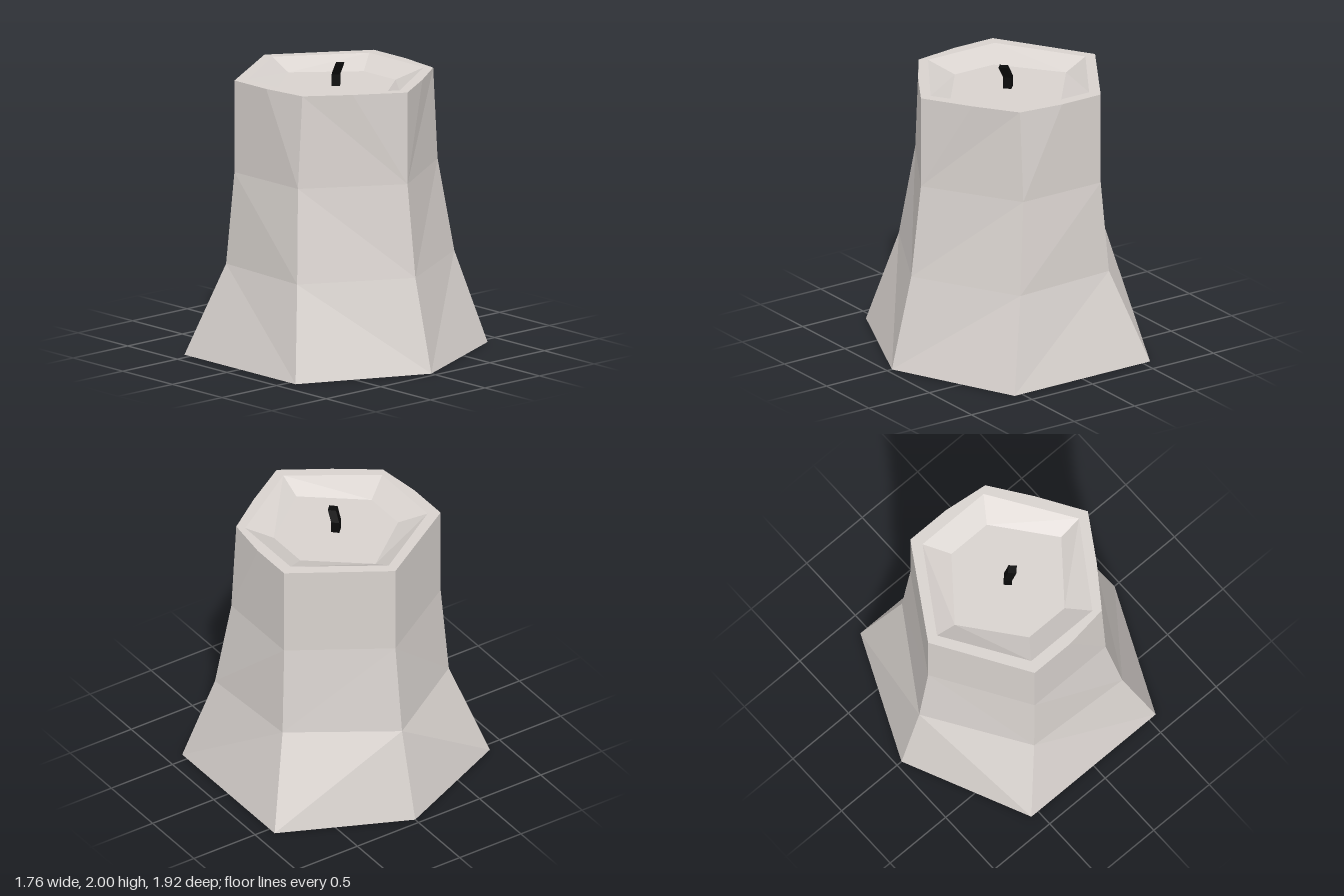
import * as THREE from 'three';

// Collects triangles for the +x half and mirrors each one to -x.
function mirroredSurface() {
  const pos = [];
  const tri = (a, b, c) => {
    pos.push(...a, ...b, ...c);
    for (const p of [a, c, b]) pos.push(-p[0], p[1], p[2]);
  };
  // Fan filling one half ring, which runs from front to back
  const cap = (r, down = false) => {
    for (let i = 1; i < r.length - 1; i++) {
      if (down) tri(r[0], r[i + 1], r[i]);
      else tri(r[0], r[i], r[i + 1]);
    }
  };
  // Band between two half rings; corners picks which upper points match the lower ones,
  // and any upper points in between are fanned from the lower front corner
  const band = (lo, up, corners = lo.map((_, i) => i)) => {
    for (let i = 0; i < lo.length - 1; i++) {
      tri(lo[i], lo[i + 1], up[corners[i + 1]]);
      for (let k = corners[i + 1]; k > corners[i]; k--) tri(lo[i], up[k], up[k - 1]);
    }
  };
  const geometry = () => {
    const g = new THREE.BufferGeometry();
    g.setAttribute('position', new THREE.Float32BufferAttribute(pos, 3));
    g.computeVertexNormals();
    return g;
  };
  return { cap, band, geometry };
}

// Half ring at height y from [x, z] pairs
const ring = (y, points) => points.map(([x, z]) => [x, y, z]);

function buildWax() {
  const s = mirroredSurface();
  const base = ring(0, [[0, 0.96], [0.88, 0.56], [0.88, -0.56], [0, -0.96]]);
  const low = ring(0.64, [[0, 0.8], [0.72, 0.4], [0.68, -0.36], [0, -0.8]]);
  const high = ring(1.28, [[0, 0.72], [0.64, 0.32], [0.64, -0.32], [0, -0.72]]);
  // The rim has extra points halfway along its front and side edges
  const rim = ring(1.92, [[0, 0.72], [0.32, 0.52], [0.6, 0.32], [0.64, 0], [0.64, -0.32], [0, -0.72]]);
  const lip = ring(1.92, [[0, 0.64], [0.28, 0.455], [0.56, 0.27], [0.56, 0], [0.56, -0.28], [0, -0.64]]);
  const pool = ring(1.84, [[0, 0.48], [0.4, 0.16], [0.4, -0.16], [0, -0.48]]);
  const corners = [0, 2, 4, 5];

  s.cap(base, true);
  s.band(base, low);
  s.band(low, high);
  s.band(high, rim, corners);
  s.band(rim, lip);
  s.band(corners.map((i) => lip[i]), pool);
  s.cap(pool);
  return s.geometry();
}

function buildWick() {
  const s = mirroredSurface();
  // Diamond section, bent towards the front at the tip
  const section = (y, z) => ring(y, [[0, z + 0.04], [0.04, z], [0, z - 0.04]]);
  const rings = [section(1.84, 0), section(1.92, 0), section(2, 0.04)];
  s.cap(rings[0], true);
  s.band(rings[0], rings[1]);
  s.band(rings[1], rings[2]);
  s.cap(rings[2]);
  return s.geometry();
}

export function createModel() {
  const wax = new THREE.MeshStandardMaterial({ color: 0xd9d3cf, flatShading: true });
  wax.name = 'wax';
  const char = new THREE.MeshStandardMaterial({ color: 0x0a0a0a, flatShading: true });
  char.name = 'charredWick';

  const group = new THREE.Group();
  group.name = 'candle';

  const body = new THREE.Mesh(buildWax(), wax);
  body.name = 'waxBody';
  const wick = new THREE.Mesh(buildWick(), char);
  wick.name = 'wick';
  group.add(body, wick);
  return group;
}
